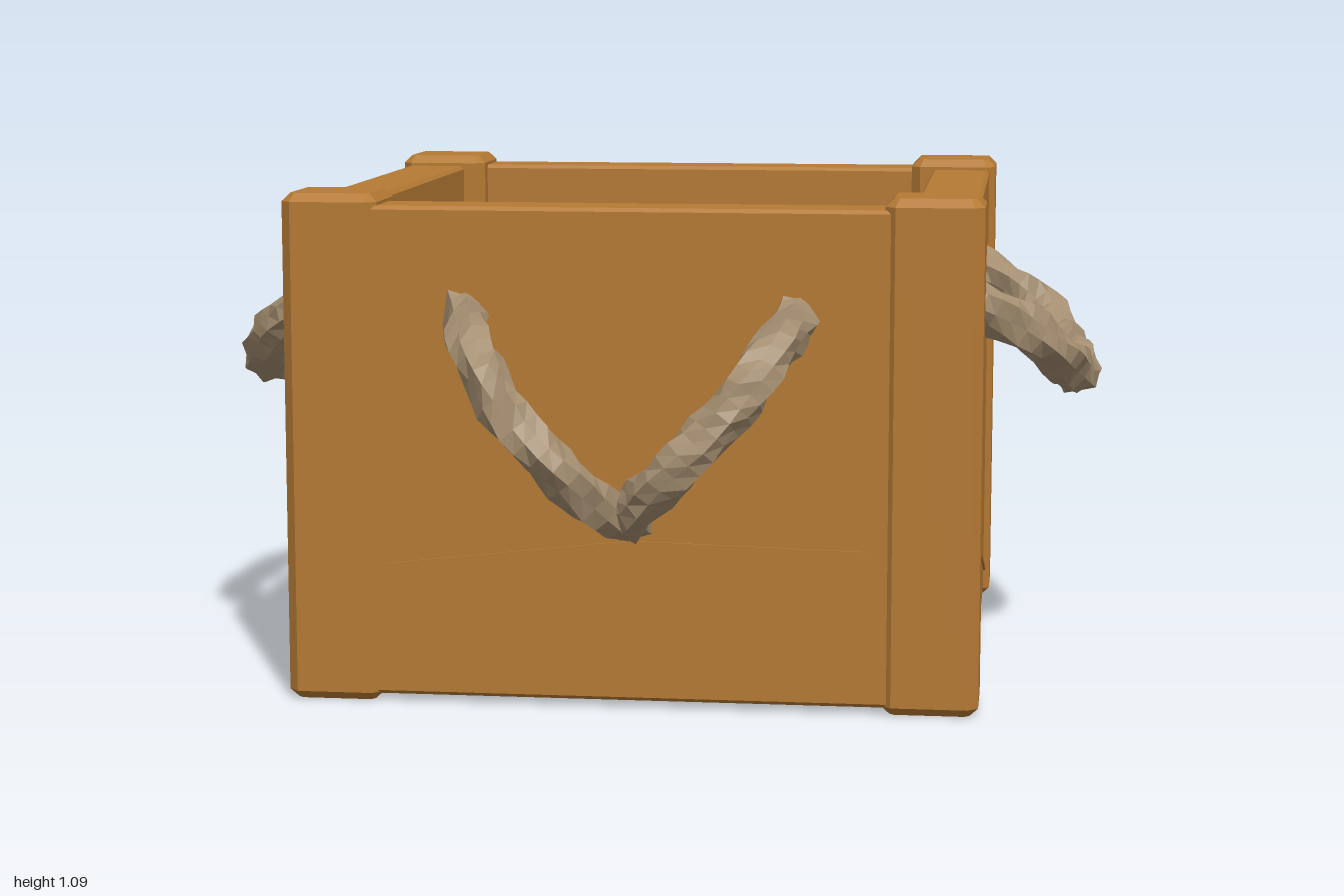
import * as THREE from 'three';

const mat = (name, color, extra = {}) =>
  Object.assign(new THREE.MeshStandardMaterial({ color, flatShading: true, ...extra }), { name });

// Upright block with every edge cut by a small chamfer
function chamferBox(w, h, d, c) {
  const x = w / 2 - c, z = d / 2 - c, k = c * 0.6;
  const outline = new THREE.Shape([
    [-x + k, -z], [x - k, -z], [x, -z + k], [x, z - k],
    [x - k, z], [-x + k, z], [-x, z - k], [-x, -z + k],
  ].map(([a, b]) => new THREE.Vector2(a, b)));
  const geo = new THREE.ExtrudeGeometry(outline, {
    depth: h - 2 * c, bevelEnabled: true, bevelThickness: c, bevelSize: c, bevelSegments: 1,
  });
  return geo.translate(0, 0, c - h / 2).rotateX(-Math.PI / 2);
}

// Lumpy three-strand rope: a tube whose section is a twisted trefoil
function ropeGeometry(points, radius) {
  const curve = new THREE.CatmullRomCurve3(points.map((p) => new THREE.Vector3(...p)));
  const rings = Math.round(curve.getLength() / 0.035), sides = 9;
  const geo = new THREE.TubeGeometry(curve, rings, radius, sides, false);
  const pos = geo.attributes.position, v = new THREE.Vector3();
  for (let i = 0; i <= rings; i++) {
    const centre = curve.getPointAt(i / rings);
    for (let j = 0; j <= sides; j++) {
      const n = i * (sides + 1) + j;
      const angle = (j / sides) * Math.PI * 2;
      const lump = 1 + 0.17 * Math.cos(3 * angle - i * 0.95) + 0.05 * Math.sin(i * 2.3 + 2 * angle);
      v.fromBufferAttribute(pos, n).sub(centre).multiplyScalar(lump).add(centre);
      pos.setXYZ(n, v.x, v.y, v.z);
    }
  }
  geo.computeVertexNormals();
  return geo;
}

// Thin flat plate cut from a polygon, lying on a +z wall
function plate(points, depth) {
  const shape = new THREE.Shape(points.map(([x, y]) => new THREE.Vector2(x, y)));
  return new THREE.ExtrudeGeometry(shape, { depth, bevelEnabled: false });
}

export function createModel() {
  const crate = new THREE.Group();
  crate.name = 'ropeHandledCrate';
  const wood = mat('wood', 0xb57a34);
  const rope = mat('rope', 0xa38d70, { side: THREE.DoubleSide });
  const black = mat('gougeBlack', 0x0a0806);
  const grey = mat('chipGrey', 0x8d8474);

  const add = (parent, name, geo, material, x = 0, y = 0, z = 0) => {
    const mesh = new THREE.Mesh(geo, material);
    mesh.name = name;
    mesh.position.set(x, y, z);
    parent.add(mesh);
    return mesh;
  };

  // Corner posts, standing slightly proud of the walls
  const postGeo = chamferBox(0.205, 1.09, 0.205, 0.018);
  for (const sx of [-1, 1]) for (const sz of [-1, 1]) {
    add(crate, 'cornerPost', postGeo, wood, sx * 0.637, 0.555, sz * 0.627);
  }

  // Four walls
  for (const s of [-1, 1]) {
    add(crate, s > 0 ? 'frontWall' : 'backWall', chamferBox(1.3, 1.05, 0.14, 0.008), wood, 0, 0.55, s * 0.65);
    add(crate, s > 0 ? 'leftWall' : 'rightWall', chamferBox(0.14, 1.05, 1.28, 0.008), wood, s * 0.655, 0.55, 0);
  }

  // Raised floor, leaving a hollow skirt underneath
  add(crate, 'floor', new THREE.BoxGeometry(1.2, 0.02, 1.2), wood, 0, 0.34, 0);

  // V-shaped handles on front and back: two loops meeting low in the middle
  const halfV = [
    [-0.355, 0.86, 0.69], [-0.30, 0.77, 0.85], [-0.19, 0.63, 0.935],
    [-0.09, 0.53, 0.93], [-0.025, 0.455, 0.86], [0, 0.415, 0.69],
  ];
  for (const turn of [0, Math.PI]) {
    const handle = new THREE.Group();
    handle.name = turn ? 'backHandle' : 'frontHandle';
    for (const s of [-1, 1]) {
      add(handle, 'ropeLoop', ropeGeometry(halfV.map(([x, y, z]) => [x * s, y, z]), 0.047), rope);
    }
    handle.rotation.y = turn;
    crate.add(handle);
  }

  // Drooping loop handles on the two sides
  const side = [[0.69, 0.86, 0.37], [0.83, 0.785, 0.325], [0.915, 0.695, 0.18]];
  const loop = [...side, [0.94, 0.655, 0], ...side.map(([x, y, z]) => [x, y, -z]).reverse()];
  for (const turn of [0, Math.PI]) {
    const mesh = add(crate, turn ? 'rightHandle' : 'leftHandle', ropeGeometry(loop, 0.05), rope);
    mesh.rotation.y = turn;
  }

  // Slim split in the front boards
  add(crate, 'frontSplit', plate([[-0.52, 0.312], [0.5, 0.36], [0, 0.372]], 0.006), wood, 0, 0, 0.719);

  // Split, gouge and chip on the left wall (drawn on +z, then turned to +x)
  const marks = new THREE.Group();
  marks.name = 'leftWallMarks';
  marks.rotation.y = Math.PI / 2;
  add(marks, 'split', plate([[-0.52, 0.36], [0.53, 0.075], [0.53, 0.088]], 0.006), wood, 0, 0, 0.724);
  add(marks, 'gouge', plate([[-0.48, 0.475], [-0.37, 0.66], [-0.41, 0.665]], 0.006), black, 0, 0, 0.724);
  add(marks, 'chip', plate([[-0.41, 0.665], [-0.37, 0.66], [-0.33, 0.73], [-0.36, 0.77]], 0.006), grey, 0, 0, 0.724);
  crate.add(marks);

  return crate;
}
